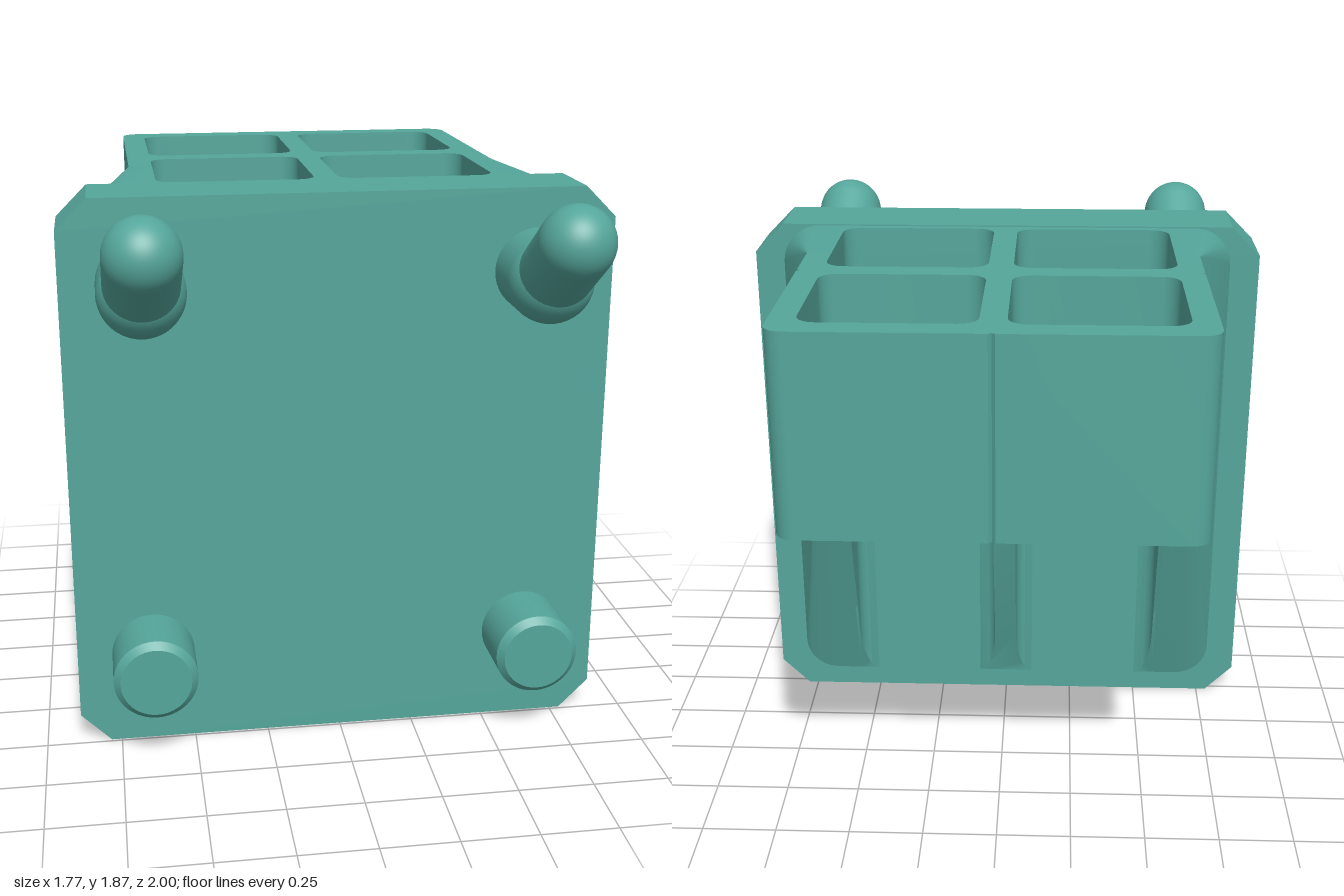
import * as THREE from 'three';
import { toCreasedNormals } from 'three/addons/utils/BufferGeometryUtils.js';

const material = new THREE.MeshStandardMaterial({ color: 0x55a69b, side: THREE.DoubleSide });
const TOP = 1.845, SHELF = 1.21, PAD_Y = 0.09; // holder top, holder underside, foot of the ribs
const PAD_Z = 0.2, BREAK_Z = -0.15;            // sloped ribs run between these depths
const HALF = 0.64, PAD_HALF = 0.78, PAD_R = 0.12;

function part(group, name, geometry) {
  const mesh = new THREE.Mesh(geometry, material);
  mesh.name = name;
  group.add(mesh);
  return mesh;
}

// Closed outline from [x, y, radius] corners
function outline(points, Type = THREE.Shape) {
  const path = new Type();
  const n = points.length;
  points.forEach(([x, y, r = 0], i) => {
    const c = new THREE.Vector2(x, y);
    const toward = (q, d) => new THREE.Vector2(q[0], q[1]).sub(c).setLength(d).add(c);
    const prev = points[(i + n - 1) % n], next = points[(i + 1) % n];
    const a = r ? toward(prev, r) : c;
    if (i === 0) path.moveTo(a.x, a.y); else path.lineTo(a.x, a.y);
    if (r) {
      const b = toward(next, r), h1 = toward(prev, r * 0.45), h2 = toward(next, r * 0.45);
      path.bezierCurveTo(h1.x, h1.y, h2.x, h2.y, b.x, b.y);
    }
  });
  path.closePath();
  return path;
}

const rect = (x0, y0, x1, y1, r, Type) =>
  outline([[x0, y0, r], [x1, y0, r], [x1, y1, r], [x0, y1, r]], Type);

const extrude = (shape, depth) =>
  new THREE.ExtrudeGeometry(shape, { depth, bevelEnabled: false, curveSegments: 10 });

// Plan shape (x, -z) raised from y0 to y1
const raise = (shape, y0, y1) => extrude(shape, y1 - y0).rotateX(-Math.PI / 2).translate(0, y0, 0);

// Plan shape whose underside follows the rib slope
function slopedRaise(shape) {
  const g = raise(shape, 0, 1), p = g.attributes.position;
  for (let i = 0; i < p.count; i++) {
    const t = (PAD_Z - p.getZ(i)) / (PAD_Z - BREAK_Z);
    p.setY(i, p.getY(i) > 0.5 ? TOP : PAD_Y + t * (SHELF - PAD_Y));
  }
  g.computeVertexNormals();
  return toCreasedNormals(g, 0.6);
}

// Cross-section of a side rib, with rounded outer corners
function ribSection(side, x, y0, r, z) {
  const pts = [[0.56, y0]];
  for (const [cy, start] of [[y0 + r, -Math.PI / 2], [TOP - r, 0]]) {
    for (let i = 0; i <= 8; i++) {
      const a = start + (i / 8) * Math.PI / 2;
      pts.push([x - r + r * Math.cos(a), cy + r * Math.sin(a)]);
    }
  }
  pts.push([0.56, TOP]);
  if (side < 0) pts.reverse();
  return pts.map(([px, py]) => [px * side, py, z]);
}

function sideRib(side) {
  const a = ribSection(side, PAD_HALF, PAD_Y, PAD_R, PAD_Z);
  const b = ribSection(side, HALF, SHELF, 0, BREAK_Z);
  const pos = [];
  a.forEach((_, i) => {
    const j = (i + 1) % a.length;
    pos.push(...b[i], ...b[j], ...a[j], ...b[i], ...a[j], ...a[i]);
  });
  const g = new THREE.BufferGeometry();
  g.setAttribute('position', new THREE.Float32BufferAttribute(pos, 3));
  g.computeVertexNormals();
  return toCreasedNormals(g, 0.5);
}

export function createModel() {
  const model = new THREE.Group();
  model.name = 'pegboardHolder';

  // Back plate with cut corners
  const w = 0.885, h = 1.85, c = 0.1;
  part(model, 'plate', extrude(outline([
    [-w + c, 0], [w - c, 0], [w, c], [w, h - c], [w - c, h], [-w + c, h], [-w, h - c], [-w, c],
  ]), 0.26).translate(0, 0, 0.23));

  // Raised pad the ribs grow from
  part(model, 'pad', toCreasedNormals(
    extrude(rect(-PAD_HALF, PAD_Y, PAD_HALF, TOP, PAD_R), 0.04).translate(0, 0, PAD_Z), 0.5));

  // Tray: two rear pockets, and the rear ends of the two front pockets
  const s = -BREAK_Z, r = 0.06, g = 0.01;
  const tray = outline([
    [0.56, s], [HALF, s], [HALF, 0.36 - g], [HALF - g, 0.36], [HALF, 0.36 + g], [HALF, 1, r],
    [g, 1], [0, 1 - g], [-g, 1],
    [-HALF, 1, r], [-HALF, 0.36 + g], [-HALF + g, 0.36], [-HALF, 0.36 - g], [-HALF, s], [-0.56, s],
    [-0.56, 0.31, r], [-0.04, 0.31, r], [-0.04, s], [0.04, s], [0.04, 0.31, r], [0.56, 0.31, r],
  ]);
  tray.holes.push(rect(0.04, 0.4, 0.56, 0.91, r, THREE.Path), rect(-0.56, 0.4, -0.04, 0.91, r, THREE.Path));
  part(model, 'tray', toCreasedNormals(raise(tray, SHELF, TOP), 0.5));

  // Centre rib, filleted into the pad
  part(model, 'centreRib', slopedRaise(outline([
    [-0.04, s], [-0.04, -PAD_Z, r], [-0.1, -PAD_Z], [0.1, -PAD_Z], [0.04, -PAD_Z, r], [0.04, s],
  ])));

  for (const side of [1, -1]) {
    const label = side > 0 ? 'left' : 'right';

    // Flared side rib and its inner fillet
    part(model, label + 'Rib', sideRib(side));
    part(model, label + 'RibFillet', slopedRaise(outline([
      [0.57, -0.1], [0.56, -0.1], [0.56, -PAD_Z, r], [0.5, -PAD_Z], [0.57, -PAD_Z],
    ].map(([x, y, rad]) => [x * side, y, rad]))));

    // Upper hook: stub, elbow and tilted round-ended rod
    const hook = new THREE.Group();
    hook.name = label + 'Hook';
    hook.position.set(0.633 * side, 1.585, 0);
    model.add(hook);
    part(hook, 'stub', new THREE.CylinderGeometry(0.137, 0.137, 0.16, 40).rotateX(Math.PI / 2).translate(0, 0, 0.56));
    part(hook, 'elbow', new THREE.SphereGeometry(0.137, 40, 24)).position.z = 0.64;
    const length = 0.295;
    const rod = part(hook, 'rod', new THREE.CapsuleGeometry(0.117, length, 12, 40).translate(0, length / 2, 0));
    rod.position.z = 0.64;
    rod.rotation.x = Math.atan2(0.245, 0.165);

    // Lower peg with a chamfered tip
    const profile = [[0, 0.47], [0.137, 0.47], [0.137, 0.69], [0.115, 0.712], [0, 0.712]];
    const peg = new THREE.LatheGeometry(profile.map((p) => new THREE.Vector2(...p)), 40);
    part(model, label + 'Peg', toCreasedNormals(peg.rotateX(Math.PI / 2), 0.5))
      .position.set(0.633 * side, 0.32, 0);
  }
  return model;
}
